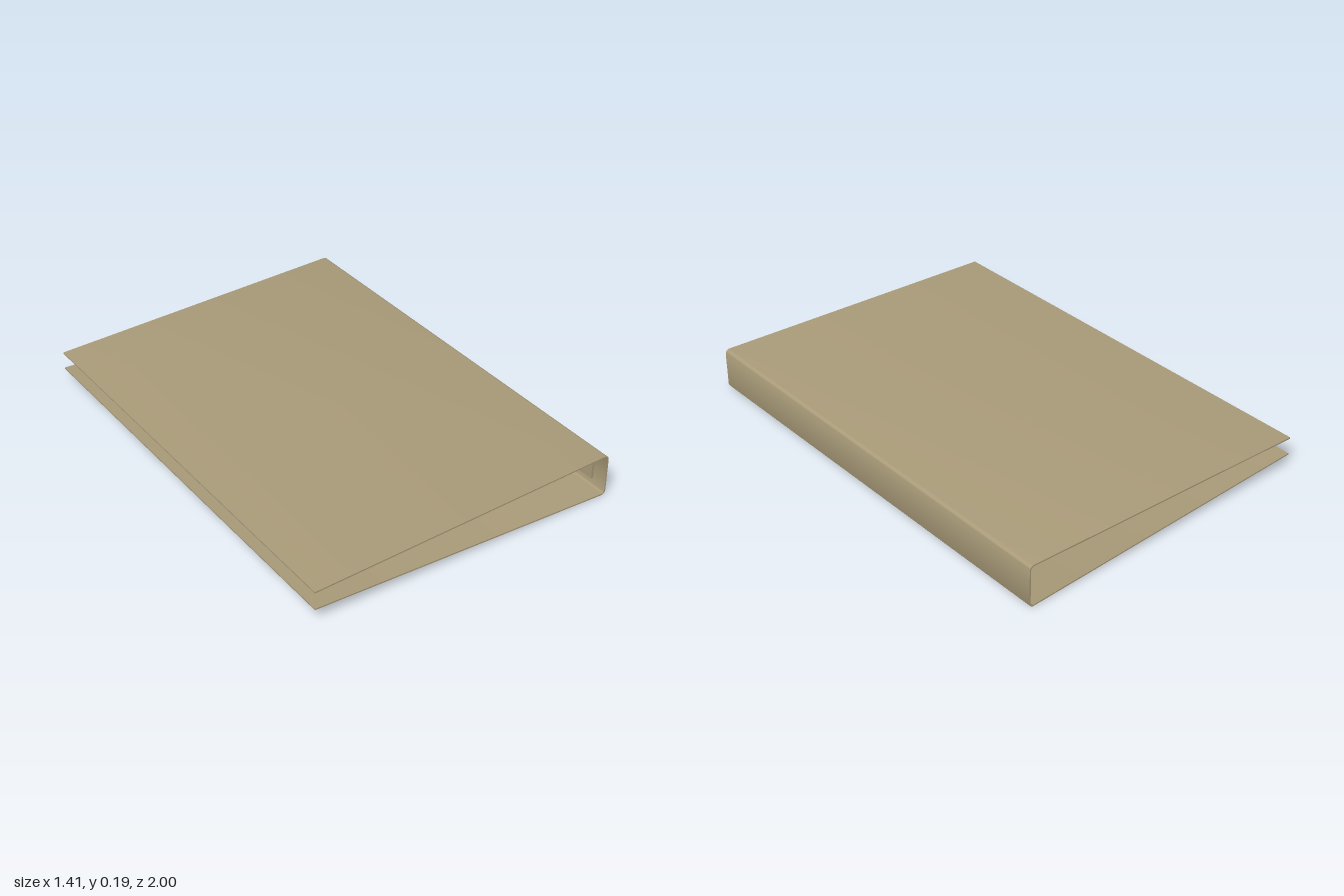
import * as THREE from 'three';
import { toCreasedNormals } from 'three/addons/utils/BufferGeometryUtils.js';

const MID = 0.095;      // mid height
const EDGE = 0.706;     // half width
const R = 0.02;         // outer fold radius
const T = 0.006;        // board thickness
const SLOPE = 0.038;    // lean of each cover (radians)

// Half of the folded profile, from the upper free edge round the fold to the spine
function upperHalf(r) {
  const cx = EDGE - R, cy = 2 * MID - R, start = Math.PI / 2 + SLOPE;
  const pts = [];
  for (let i = 0; i <= 8; i++) {
    const a = start * (1 - i / 8);
    pts.push(new THREE.Vector2(cx + r * Math.cos(a), cy + r * Math.sin(a)));
  }
  const freeY = pts[0].y - (pts[0].x + EDGE) * Math.tan(SLOPE);
  return [new THREE.Vector2(-EDGE, freeY), ...pts];
}

function profile(r) {
  const top = upperHalf(r);
  const bottom = top.map(p => new THREE.Vector2(p.x, 2 * MID - p.y)).reverse();
  return [...top, ...bottom];
}

export function createModel() {
  const group = new THREE.Group();
  const board = new THREE.MeshStandardMaterial({ color: 0xa89a78 });

  // Covers and spine in one folded sheet
  const shape = new THREE.Shape([...profile(R), ...profile(R - T).reverse()]);
  const sheet = new THREE.ExtrudeGeometry(shape, { depth: 2, bevelEnabled: false });
  sheet.translate(0, 0, -1);
  const cover = new THREE.Mesh(toCreasedNormals(sheet, 0.6), board);
  cover.name = 'coverAndSpine';
  group.add(cover);

  // Plate holding the rings on the inside of the spine
  const plate = new THREE.Mesh(new THREE.BoxGeometry(0.012, 0.11, 1.86), board);
  plate.position.set(EDGE - T - 0.005, MID, 0);
  plate.name = 'ringPlate';
  group.add(plate);

  // Three half rings
  for (const z of [-0.74, 0, 0.74]) {
    const ring = new THREE.Mesh(new THREE.TorusGeometry(0.054, 0.003, 8, 24, Math.PI), board);
    ring.rotation.z = Math.PI / 2;
    ring.position.set(EDGE - T, MID, z);
    ring.name = 'ring';
    group.add(ring);
  }
  return group;
}
